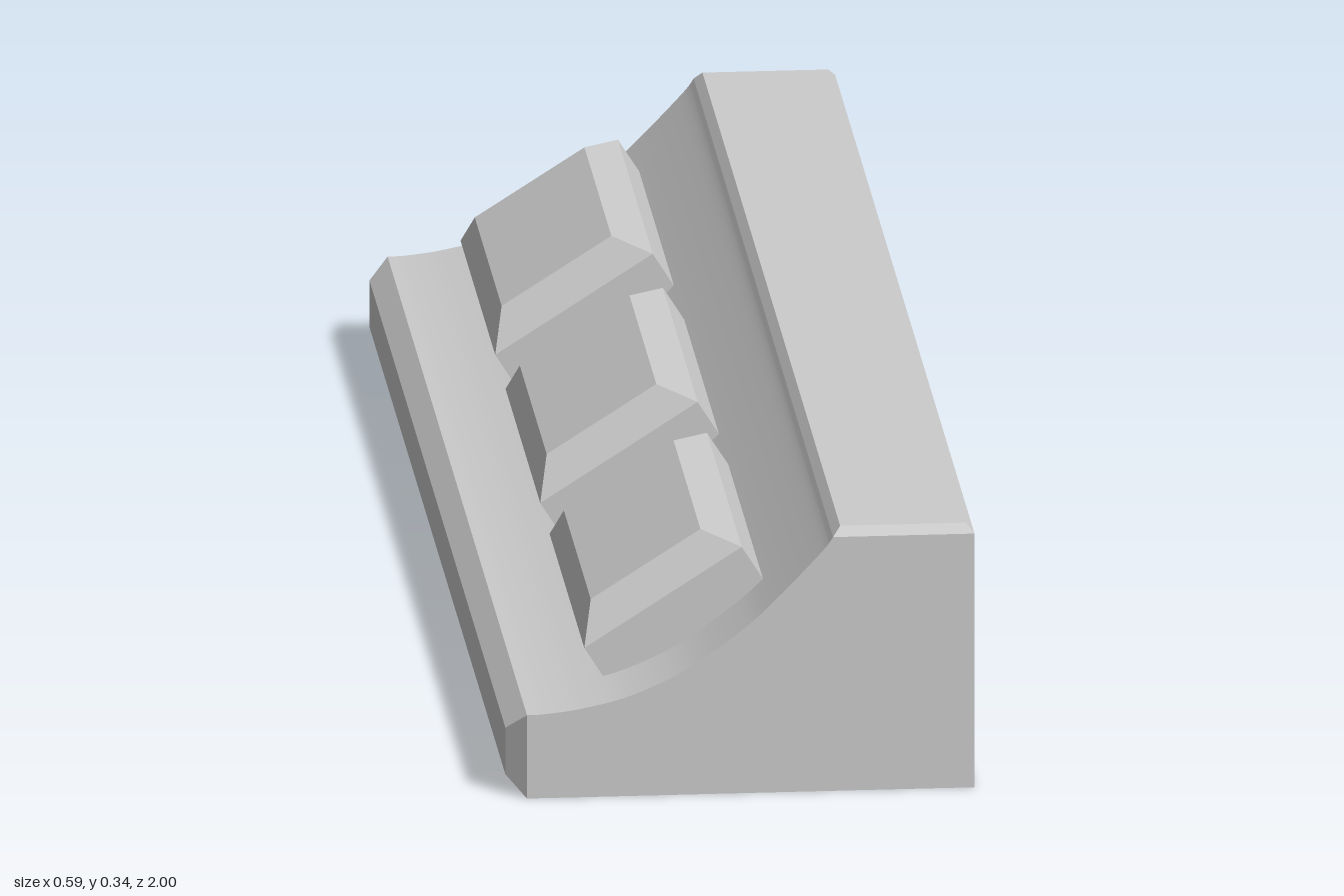
import * as THREE from 'three';
import { toCreasedNormals } from 'three/addons/utils/BufferGeometryUtils.js';

const material = new THREE.MeshStandardMaterial({ color: 0xcccccc });

// Closed flat-faced solid through rectangular rings, each [[xa, ya], [xb, yb], half depth in z]
function loft(sections) {
  const rings = sections.map(([a, b, h]) => [[...a, -h], [...a, h], [...b, h], [...b, -h]]);
  const pos = [];
  const quad = (a, b, c, d) => pos.push(...a, ...b, ...c, ...a, ...c, ...d);
  for (let k = 0; k < rings.length - 1; k++) {
    const lo = rings[k], hi = rings[k + 1];
    for (let i = 0; i < 4; i++) {
      const j = (i + 1) % 4;
      quad(lo[i], lo[j], hi[j], hi[i]);
    }
  }
  quad(...rings[rings.length - 1]);
  quad(...[...rings[0]].reverse());
  const geometry = new THREE.BufferGeometry();
  geometry.setAttribute('position', new THREE.Float32BufferAttribute(pos, 3));
  geometry.computeVertexNormals();
  return geometry;
}

export function createModel() {
  const group = new THREE.Group();
  const add = (name, geometry) => {
    const mesh = new THREE.Mesh(geometry, material);
    mesh.name = name;
    group.add(mesh);
    return mesh;
  };

  // Long body with a concave sloping face
  const profile = new THREE.Shape();
  profile.moveTo(-0.27, 0);
  profile.lineTo(0.293, 0);
  profile.lineTo(0.293, 0.332);
  profile.lineTo(0.115, 0.332);
  profile.splineThru([
    [0.1, 0.312], [0.04, 0.249], [0, 0.213], [-0.07, 0.163],
    [-0.14, 0.131], [-0.2, 0.116], [-0.245, 0.11], [-0.27, 0.109],
  ].map(([x, y]) => new THREE.Vector2(x, y)));
  const body = new THREE.ExtrudeGeometry(profile, { depth: 2, bevelEnabled: false, curveSegments: 4 });
  body.translate(0, 0, -1);
  add('body', toCreasedNormals(body, 0.35));

  // Bevelled ledge on top
  add('topLedge', loft([
    [[0.115, 0.332], [0.293, 0.332], 1],
    [[0.125, 0.343], [0.283, 0.343], 0.988],
  ]));

  // Bevelled lip along the low edge
  add('lowerLip', loft([
    [[-0.27, 0], [-0.27, 0.109], 1],
    [[-0.295, 0.025], [-0.295, 0.086], 0.975],
  ]));

  // Three tilted blocks sunk into the slope
  const block = loft([
    [[-0.14, 0.085], [0.062, 0.206], 0.249],
    [[-0.188, 0.161], [0.01, 0.288], 0.249],
    [[-0.175, 0.208], [-0.037, 0.296], 0.193],
  ]);
  [-0.64, 0.006, 0.638].forEach((z, i) => {
    add(`slopeBlock${i + 1}`, block).position.z = z;
  });

  return group;
}
